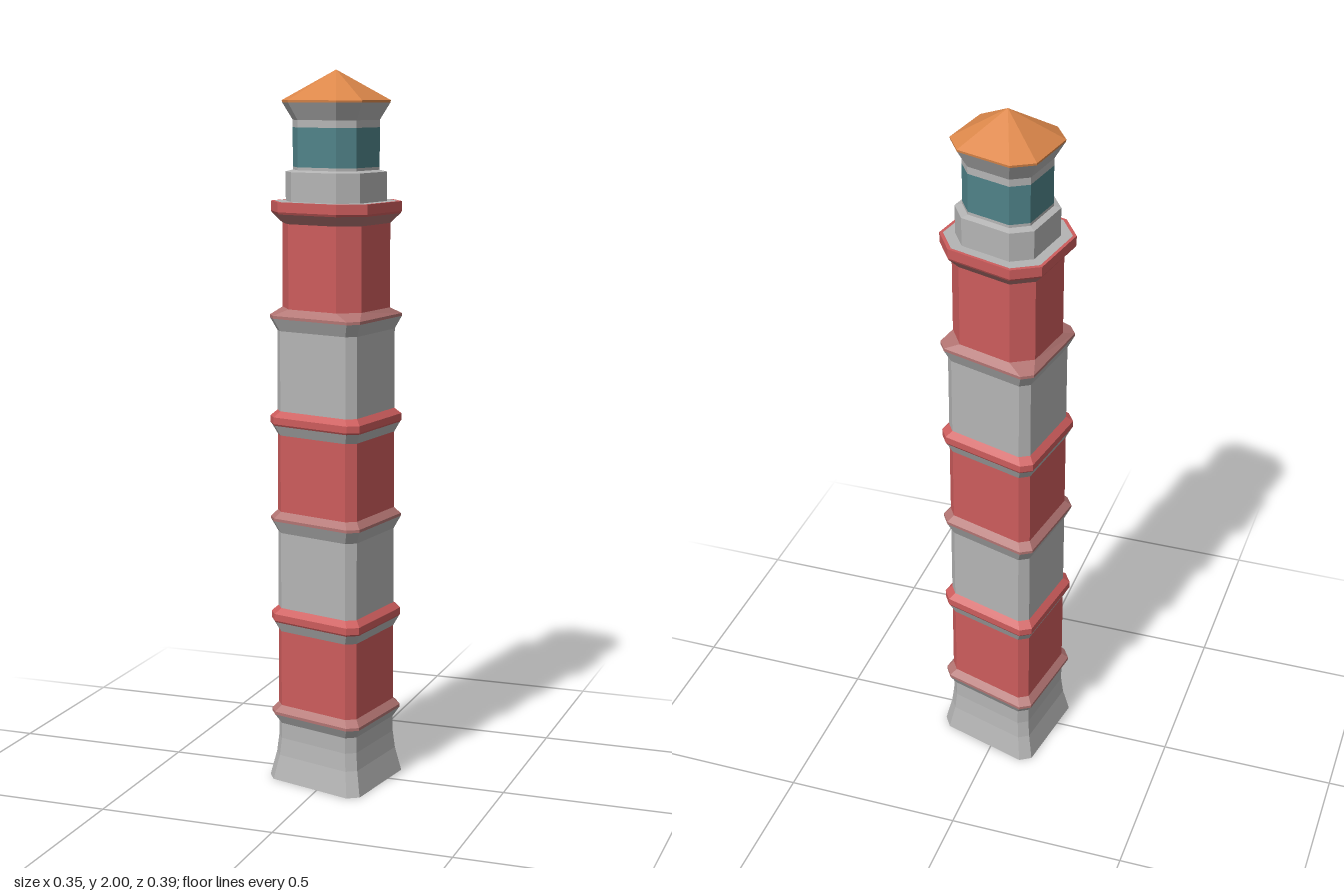
import * as THREE from 'three';

const flat = (name, color) => {
  const m = new THREE.MeshStandardMaterial({ color });
  m.name = name;
  m.flatShading = true;
  return m;
};

// Half outlines (x, z); the other half is the same turned by 180 degrees
const fullTurn = (half) => [...half, ...half.map(([x, z]) => [-x, -z])];
const SHAFT = fullTurn([[-0.133, -0.175], [-0.101, -0.195], [0.148, -0.117], [0.172, -0.08]]);
const OCTAGON = fullTurn([[-0.142, -0.148], [-0.069, -0.192], [0.121, -0.132], [0.175, -0.047]]);

// Joins eight-sided rings [outline, scale, y] from bottom to top; scale 0 closes to a point
function loft(rings) {
  const pos = [];
  const at = ([outline, s, y], i) => {
    const [x, z] = outline[i % 8];
    return [x * s, y, z * s];
  };
  for (let r = 0; r < rings.length - 1; r++) {
    const lo = rings[r], hi = rings[r + 1];
    for (let i = 0; i < 8; i++) {
      if (hi[1] > 0) pos.push(...at(lo, i), ...at(hi, i), ...at(hi, i + 1));
      if (lo[1] > 0) pos.push(...at(lo, i), ...at(hi, i + 1), ...at(lo, i + 1));
    }
  }
  const g = new THREE.BufferGeometry();
  g.setAttribute('position', new THREE.Float32BufferAttribute(pos, 3));
  g.computeVertexNormals();
  return g;
}

export function createModel() {
  const group = new THREE.Group();
  group.name = 'lighthouse';
  const red = flat('red paint', 0xcc5c5c);
  const grey = flat('pale grey stone', 0xb4b4b4);
  const pink = flat('faded red trim', 0xb27472);
  const orange = flat('orange roof', 0xdc874a);
  const teal = flat('teal glass', 0x4f8288);

  const add = (name, material, ...rings) => {
    const mesh = new THREE.Mesh(loft(rings), material);
    mesh.name = name;
    group.add(mesh);
  };
  const WALL = 0.865, RIM = 0.97;
  const s = (scale, y) => [SHAFT, scale, y];
  const o = (scale, y) => [OCTAGON, scale, y];

  // Flared foot with closed underside
  add('foot', grey, s(0, 0), s(1, 0), s(0.9, 0.07), s(WALL, 0.12), s(WALL, 0.165), s(RIM, 0.192));

  // Two repeats of a red storey and a grey storey, each ending in a projecting band
  [[0.192, 0.435, 0.755], [0.755, 0.998, 1.325]].forEach(([start, mid, end], i) => {
    const n = i + 1;
    add('fadedBand' + n, pink, s(RIM, start), s(RIM, start + 0.008), s(WALL, start + 0.026));
    add('redStorey' + n, red, s(WALL, start + 0.026), s(WALL, mid));
    add('bandUnderside' + n, grey, s(WALL, mid), s(RIM - 0.02, mid + 0.028));
    add('redBand' + n, red, s(RIM - 0.02, mid + 0.028), s(RIM, mid + 0.033),
      s(RIM, mid + 0.052), s(WALL, mid + 0.068));
    add('greyStorey' + n, grey, s(WALL, mid + 0.068), s(WALL, end - 0.035), s(RIM, end));
  });

  // Top storey changes to a wider-cornered octagon
  add('topBand', pink, s(RIM, 1.325), s(RIM, 1.333), o(0.825, 1.352));
  add('topStorey', red, o(0.825, 1.352), o(0.825, 1.585));

  // Gallery
  add('galleryUnderside', pink, o(0.825, 1.585), o(0.98, 1.612));
  add('galleryRim', red, o(0.98, 1.612), o(1, 1.618), o(1, 1.645), o(0.945, 1.645));
  add('galleryFloor', grey, o(0.945, 1.645), o(0, 1.645));

  // Lantern room
  add('lanternBase', grey, o(0.77, 1.645), o(0.77, 1.725), o(0.66, 1.73), o(0.66, 1.738));
  add('lanternGlass', teal, o(0.66, 1.738), o(0.66, 1.845));
  add('lanternCornice', grey, o(0.66, 1.845), o(0.66, 1.865), o(0.82, 1.912));

  // Roof
  add('roof', orange, o(0.82, 1.912), o(0.825, 1.918), o(0, 2));
  return group;
}
